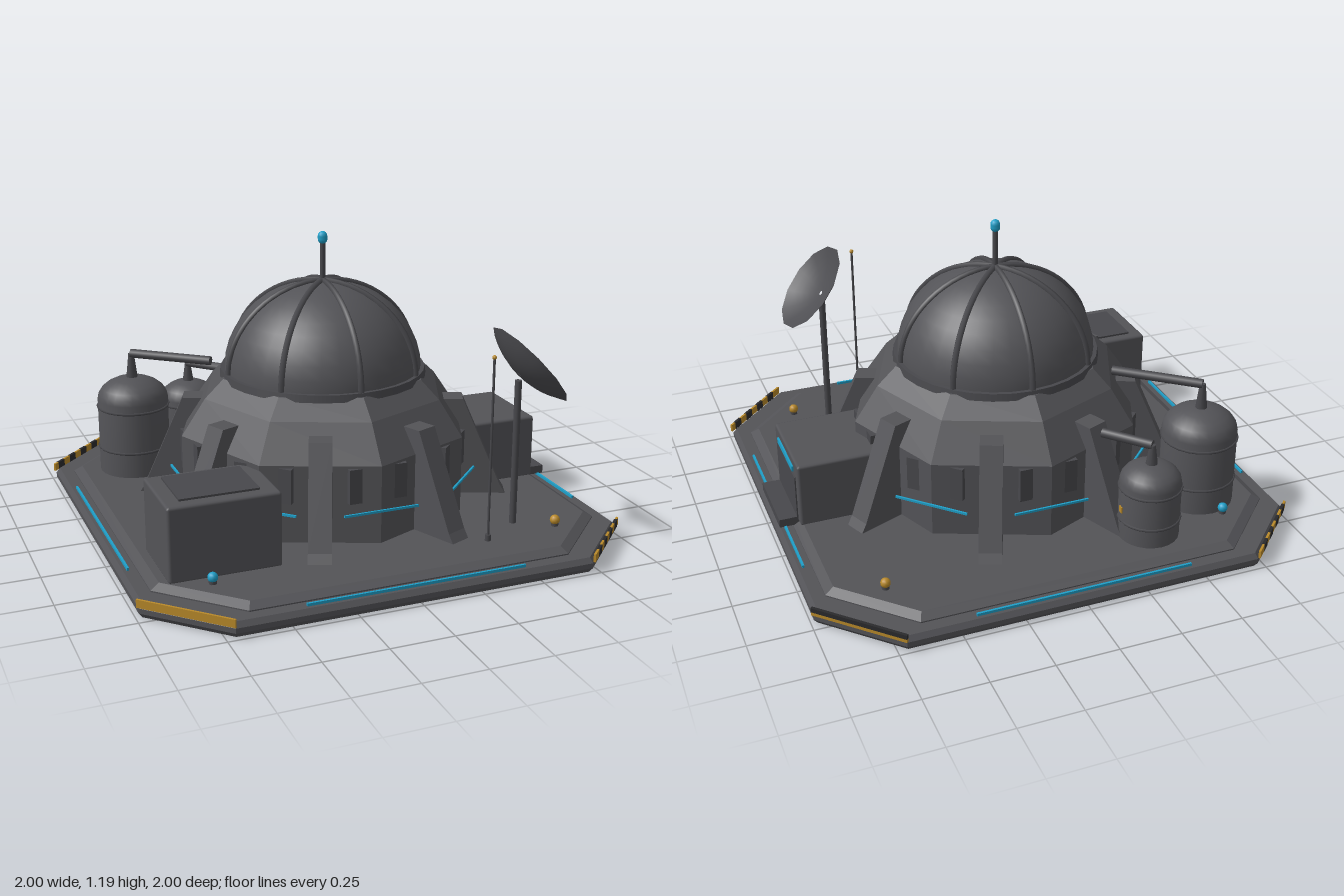
import * as THREE from 'three';
import { toCreasedNormals } from 'three/addons/utils/BufferGeometryUtils.js';
import { RoundedBoxGeometry } from 'three/addons/geometries/RoundedBoxGeometry.js';

const paint = (name, color, extra = {}) => Object.assign(new THREE.MeshStandardMaterial({ color, ...extra }), { name });
const V2 = (p) => p.map(([x, y]) => new THREE.Vector2(x, y));
const V3 = (x, y, z) => new THREE.Vector3(x, y, z);

export function createModel() {
  const root = new THREE.Group();
  root.name = 'domeOutpost';
  const hull = paint('hullGrey', 0x535357);
  const trim = paint('trimGrey', 0x48484c);
  const dishMat = paint('dishGrey', 0x4e4e52, { side: THREE.DoubleSide });
  const black = paint('stripeBlack', 0x2a2a2c);
  const cyan = paint('lightCyan', 0x1f9fc8);
  const amber = paint('amber', 0xb8892a);

  const add = (name, geo, mat, x = 0, y = 0, z = 0, ry = 0, parent = root) => {
    const m = new THREE.Mesh(geo, mat);
    m.name = name;
    m.position.set(x, y, z);
    m.rotation.y = ry;
    parent.add(m);
    return m;
  };
  const box = (w, h, d) => new THREE.BoxGeometry(w, h, d);
  const rod = (name, a, b, r, mat = trim, r2 = r, sides = 10) => {
    const dir = b.clone().sub(a);
    const m = add(name, new THREE.CylinderGeometry(r2, r, dir.length(), sides), mat);
    m.position.copy(a).addScaledVector(dir, 0.5);
    m.quaternion.setFromUnitVectors(V3(0, 1, 0), dir.normalize());
    return m;
  };

  // Square with cut corners, lying flat
  const slab = (half, cut, depth, bevel) => {
    const p = [[half, cut], [cut, half], [-cut, half], [-half, cut], [-half, -cut], [-cut, -half], [cut, -half], [half, -cut]];
    const g = new THREE.ExtrudeGeometry(new THREE.Shape(V2(p)), {
      depth, bevelEnabled: bevel > 0, bevelSize: bevel, bevelThickness: 0.02, bevelSegments: 1,
    });
    return g.rotateX(-Math.PI / 2);
  };
  add('foundation', slab(0.975, 0.71, 0.02, 0.015), hull, 0, 0.02, 0);
  add('platform', slab(0.89, 0.63, 0.025, 0.035), hull, 0, 0.04, 0);

  // Octagonal hull with sloping shoulders
  const hullProfile = V2([[0.61, 0.08], [0.61, 0.4], [0.51, 0.545], [0.43, 0.62], [0.001, 0.625]]);
  add('hull', toCreasedNormals(new THREE.LatheGeometry(hullProfile, 8), 0.2), hull);
  add('domeCollar', new THREE.CylinderGeometry(0.42, 0.425, 0.03, 32), trim, 0, 0.62, 0);

  // Dome and its ribs
  const dome = new THREE.SphereGeometry(0.405, 32, 10, 0, Math.PI * 2, 0, Math.PI / 2);
  add('dome', dome.scale(1, 0.9, 1), hull, 0, 0.625, 0);
  const arc = [];
  for (let i = 0; i <= 12; i++) {
    const a = (i / 12) * Math.PI / 2;
    arc.push(V3(0, 0.625 + 0.366 * Math.sin(a), 0.407 * Math.cos(a)));
  }
  const ribGeo = new THREE.TubeGeometry(new THREE.CatmullRomCurve3(arc), 16, 0.013, 6);

  // Buttress side outline, turned to point along +z
  const fin = new THREE.ExtrudeGeometry(
    new THREE.Shape(V2([[0.45, 0.08], [0.77, 0.08], [0.745, 0.12], [0.58, 0.5], [0.45, 0.5]])),
    { depth: 0.09, bevelEnabled: false });
  fin.translate(0, 0, -0.045).rotateY(-Math.PI / 2);

  for (let i = 0; i < 8; i++) {
    const a = (i * Math.PI) / 4;
    const s = Math.sin(a), c = Math.cos(a);
    add('domeRib', ribGeo, trim, 0, 0, 0, a);
    add('buttress', fin, hull, 0, 0, 0, a + Math.PI / 8);
    add('wallPanel', box(0.24, 0.14, 0.03), trim, s * 0.567, 0.32, c * 0.567, a);
    add('wallLight', box(0.31, 0.009, 0.008), cyan, s * 0.615, 0.22, c * 0.615, a);
  }

  // Mast on top
  rod('mast', V3(0, 0.97, 0), V3(0, 1.16, 0), 0.011);
  add('mastLamp', new THREE.CapsuleGeometry(0.02, 0.012, 4, 10), cyan, 0, 1.166, 0);

  // Airlock on the left side
  add('airlock', new RoundedBoxGeometry(0.42, 0.275, 0.38, 1, 0.012), hull, 0.692, 0.215, 0);
  add('airlockDoor', box(0.008, 0.2, 0.3), trim, 0.903, 0.185, 0);
  add('airlockLight', box(0.009, 0.022, 0.245), cyan, 0.905, 0.31, 0);
  add('airlockStep', box(0.09, 0.035, 0.3), trim, 0.935, 0.085, 0);

  // Equipment module on the right
  add('equipmentBox', new RoundedBoxGeometry(0.44, 0.3, 0.33, 1, 0.012), hull, -0.64, 0.23, 0.495);
  add('equipmentLid', box(0.31, 0.01, 0.24), trim, -0.645, 0.383, 0.49);

  // Storage tanks with bands, valves and feed pipes
  const tank = (x, z, r, top, pipeY, ex, ez) => {
    const d = r * 0.62;
    const prof = [[0.001, 0.07], [r, 0.07], [r, top - d]];
    for (let i = 1; i <= 6; i++) {
      const a = (i / 6) * Math.PI / 2;
      prof.push([Math.max(r * Math.cos(a), 0.001), top - d + d * Math.sin(a)]);
    }
    add('tank', toCreasedNormals(new THREE.LatheGeometry(V2(prof), 24), 0.7), hull, x, 0, z);
    for (const k of [0.35, 0.9]) {
      const band = new THREE.TorusGeometry(r, 0.006, 5, 24).rotateX(Math.PI / 2);
      add('tankBand', band, trim, x, 0.08 + (top - d - 0.08) * k, z);
    }
    rod('valve', V3(x, top - 0.01, z), V3(x, pipeY, z), 0.025, trim, 0.012);
    rod('feedPipe', V3(x, pipeY, z), V3(ex, pipeY, ez), 0.019);
    add('tankLabel', box(0.008, 0.025, 0.022), amber, x + r, 0.215, z);
  };
  tank(-0.67, -0.55, 0.152, 0.5, 0.603, -0.385, -0.315);
  tank(-0.37, -0.72, 0.122, 0.4, 0.48, -0.23, -0.565);

  // Dish on a pole, tilted up and outward
  rod('dishPole', V3(0.57, 0.08, 0.62), V3(0.57, 0.68, 0.62), 0.014);
  const bowl = [];
  for (let i = 0; i <= 6; i++) {
    const r = 0.01 + 0.19 * (i / 6);
    bowl.push([r, -0.058 * (1 - (r / 0.2) ** 2)]);
  }
  const dish = add('dish', new THREE.LatheGeometry(V2(bowl), 12), dishMat, 0.617, 0.74, 0.62);
  dish.rotation.z = -0.877;

  // Whip aerial
  rod('aerialBase', V3(0.395, 0.08, 0.74), V3(0.395, 0.11, 0.74), 0.012);
  rod('aerial', V3(0.395, 0.08, 0.74), V3(0.395, 0.82, 0.74), 0.005);
  add('aerialTip', new THREE.SphereGeometry(0.009, 8, 6), amber, 0.395, 0.825, 0.74);

  // Edge lights along each side
  for (let i = 0; i < 4; i++) {
    const a = (i * Math.PI) / 2;
    add('edgeLight', box(0.88, 0.012, 0.009), cyan, Math.sin(a) * 0.957, 0.065, Math.cos(a) * 0.957, a);
  }

  // Corner lamps and hazard plates
  for (const sx of [1, -1]) for (const sz of [1, -1]) {
    rod('lampPost', V3(sx * 0.71, 0.07, sz * 0.71), V3(sx * 0.71, 0.1, sz * 0.71), 0.015);
    add('cornerLamp', new THREE.SphereGeometry(0.02, 12, 8), sx > 0 ? amber : cyan, sx * 0.71, 0.11, sz * 0.71);
    const g = new THREE.Group();
    g.name = 'hazardPlate';
    g.position.set(sx * 0.857, 0.063, sz * 0.857);
    g.rotation.y = Math.atan2(sx, sz);
    root.add(g);
    add('hazardBase', box(0.395, 0.032, 0.009), amber, 0, 0, 0, 0, g);
    if (sx === sz) {
      for (let i = 0; i < 4; i++) add('hazardStripe', box(0.045, 0.033, 0.012), black, -0.12 + i * 0.09, 0, 0, 0, g);
    } else if (sx > 0) {
      add('hazardCover', box(0.396, 0.018, 0.012), black, 0, 0.008, 0, 0, g);
    }
  }
  return root;
}
